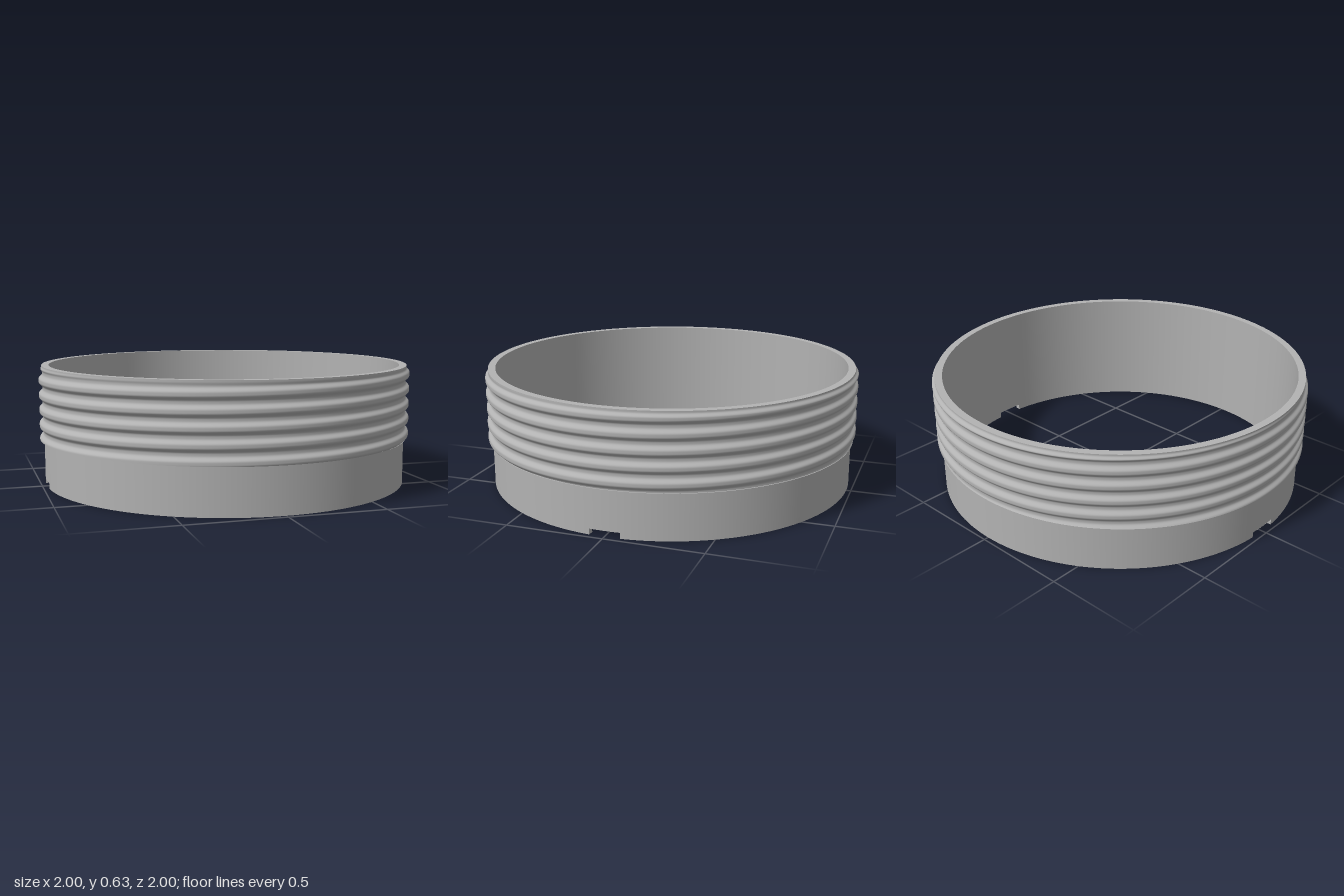
import * as THREE from 'three';
import { mergeVertices } from 'three/addons/utils/BufferGeometryUtils.js';

const SEG = 160;
const INNER = 0.945, BODY = 0.976, ROOT = 0.981, CREST = 1.0;
const TOP = 0.63, STEP = 0.24, NOTCH_H = 0.03, NOTCH_ANGLE = 0.08;
const PITCH = 0.079, CREST_Y = 0.572;

const metal = new THREE.MeshStandardMaterial({ color: 0xb2b2b2, side: THREE.DoubleSide });
metal.name = 'grey';

// One straight profile segment revolved about y, so the edges stay sharp
function band(name, r0, y0, r1, y1, start = 0, length = Math.PI * 2, seg = SEG) {
  const points = [new THREE.Vector2(r0, y0), new THREE.Vector2(r1, y1)];
  const mesh = new THREE.Mesh(new THREE.LatheGeometry(points, seg, start, length), metal);
  mesh.name = name;
  return mesh;
}

// Threaded wall: a fine cylinder whose radius follows a right-hand helix
function threadGeometry() {
  const rows = 96, points = [];
  for (let i = 0; i <= rows; i++) {
    points.push(new THREE.Vector2(1, STEP + (TOP - STEP) * i / rows));
  }
  const geo = new THREE.LatheGeometry(points, SEG);
  const pos = geo.attributes.position;
  for (let i = 0; i < pos.count; i++) {
    const x = pos.getX(i), y = pos.getY(i), z = pos.getZ(i);
    const turn = Math.atan2(x, z) / (Math.PI * 2);
    const wave = 0.5 + 0.5 * Math.cos(Math.PI * 2 * ((y - CREST_Y) / PITCH - turn));
    const ridge = THREE.MathUtils.smoothstep(wave, 0, 0.95);
    const fade = 1 - THREE.MathUtils.smoothstep(y, 0.603, 0.622);
    const r = ROOT + 0.003 * (1 - fade) + (CREST - ROOT) * ridge * fade;
    pos.setXYZ(i, x * r, y, z * r);
  }
  geo.deleteAttribute('uv');
  geo.deleteAttribute('normal');
  const smooth = mergeVertices(geo, 1e-5);
  smooth.computeVertexNormals();
  return smooth;
}

export function createModel() {
  const model = new THREE.Group();
  model.name = 'threadedRing';

  // Plain collar, bore and top rim
  model.add(
    band('collarWall', BODY, NOTCH_H, BODY, STEP),
    band('threadStep', BODY, STEP, ROOT + 0.006, STEP),
    band('topRim', ROOT + 0.003, TOP, INNER, TOP),
    band('bore', INNER, TOP, INNER, NOTCH_H)
  );

  const thread = new THREE.Mesh(threadGeometry(), metal);
  thread.name = 'thread';
  model.add(thread);

  // Foot in two halves, leaving a notch on each side
  for (const side of [1, -1]) {
    const center = side * Math.PI / 2;
    const start = center + NOTCH_ANGLE, length = Math.PI - 2 * NOTCH_ANGLE;
    const foot = new THREE.Group();
    foot.name = side > 0 ? 'backFoot' : 'frontFoot';
    foot.add(
      band('footInner', INNER, NOTCH_H, INNER, 0, start, length, SEG / 2),
      band('footBottom', INNER, 0, BODY, 0, start, length, SEG / 2),
      band('footOuter', BODY, 0, BODY, NOTCH_H, start, length, SEG / 2)
    );
    model.add(foot);

    // Notch ceiling and its two end walls
    const notch = new THREE.Group();
    notch.name = side > 0 ? 'leftNotch' : 'rightNotch';
    notch.add(band('notchCeiling', INNER, NOTCH_H, BODY, NOTCH_H,
      center - NOTCH_ANGLE, 2 * NOTCH_ANGLE, 8));
    for (const end of [-1, 1]) {
      const angle = center + end * NOTCH_ANGLE;
      const wall = new THREE.Mesh(new THREE.PlaneGeometry(BODY - INNER, NOTCH_H), metal);
      const r = (BODY + INNER) / 2;
      wall.position.set(Math.sin(angle) * r, NOTCH_H / 2, Math.cos(angle) * r);
      wall.rotation.y = angle - Math.PI / 2 + (end > 0 ? Math.PI : 0);
      wall.name = 'notchWall';
      notch.add(wall);
    }
    model.add(notch);
  }
  return model;
}
